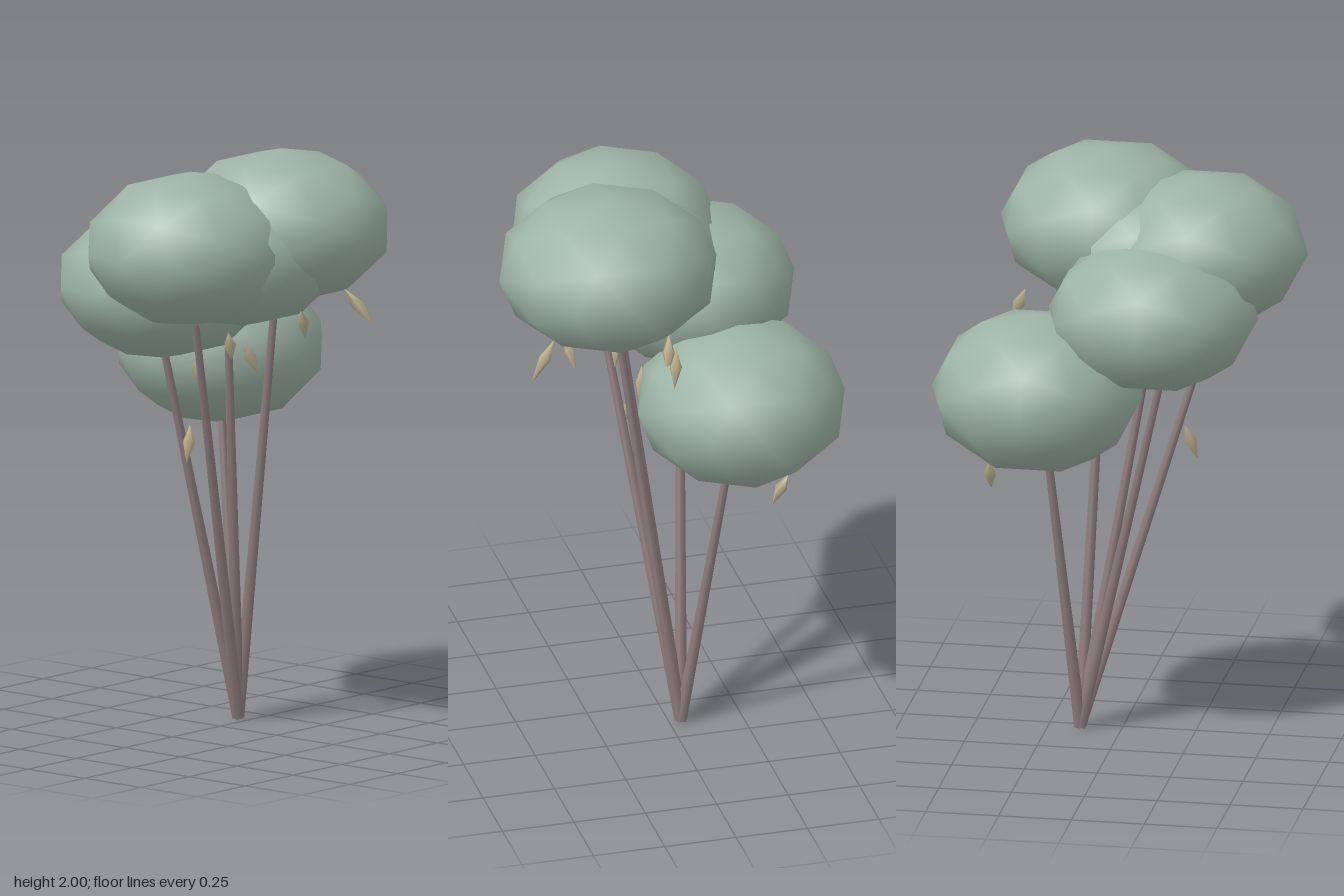
import * as THREE from 'three';
import { mergeVertices } from 'three/addons/utils/BufferGeometryUtils.js';

const foliage = new THREE.MeshStandardMaterial({ color: 0x9cb3a5 });
foliage.name = 'foliage green';
const bark = new THREE.MeshStandardMaterial({ color: 0x8f7d7f });
bark.name = 'mauve bark';
const seed = new THREE.MeshStandardMaterial({ color: 0xb9ad8a });
seed.name = 'pod tan';

const UP = new THREE.Vector3(0, 1, 0);

// Low-poly ball with shared vertices for smooth shading
function ballGeometry(rx, ry, rz) {
  let g = new THREE.IcosahedronGeometry(1, 1);
  g.deleteAttribute('normal');
  g.deleteAttribute('uv');
  g = mergeVertices(g, 1e-3);
  g.scale(rx, ry, rz);
  g.computeVertexNormals();
  return g;
}

// Places a mesh, built along y, between two points
function between(mesh, a, b) {
  mesh.position.copy(a).add(b).multiplyScalar(0.5);
  mesh.quaternion.setFromUnitVectors(UP, b.clone().sub(a).normalize());
  return mesh;
}

export function createModel() {
  const group = new THREE.Group();
  const add = (mesh, name) => {
    mesh.name = name;
    group.add(mesh);
  };

  // Foliage clumps
  const clumps = [
    [0.085, 1.735, 0.2, 0.37, 0.265, 0.38],
    [-0.255, 1.69, 0.085, 0.365, 0.265, 0.36],
    [-0.13, 1.53, -0.145, 0.36, 0.262, 0.365],
    [0.255, 1.255, -0.22, 0.362, 0.275, 0.362],
    [-0.06, 1.665, 0.13, 0.36, 0.265, 0.365],
  ];
  clumps.forEach(([x, y, z, rx, ry, rz], i) => {
    const m = new THREE.Mesh(ballGeometry(rx, ry, rz), foliage);
    m.position.set(x, y, z);
    add(m, `foliageClump${i + 1}`);
  });

  // Slender stems fanning out from one root
  const root = new THREE.Vector3(0.14, 0.005, -0.04);
  const tips = [
    [0.085, 1.7, 0.195],
    [-0.32, 1.54, 0.15],
    [-0.2, 1.5, -0.13],
    [0.245, 1.25, -0.22],
    [-0.12, 1.6, 0.13],
  ];
  tips.forEach((t, i) => {
    const tip = new THREE.Vector3(...t);
    const g = new THREE.CylinderGeometry(0.012, 0.022, tip.distanceTo(root), 6);
    add(between(new THREE.Mesh(g, bark), root, tip), `stem${i + 1}`);
  });

  // Hanging pods: upper end, lower end
  const pods = [
    [-0.205, 1.07, 0.04, -0.245, 0.95, 0.06],
    [-0.235, 1.3, 0.08, -0.195, 1.2, 0.1],
    [-0.205, 1.41, 0.21, -0.175, 1.31, 0.2],
    [0.02, 1.47, 0.34, 0.08, 1.36, 0.31],
    [0.04, 1.32, 0.07, 0.09, 1.21, 0.09],
    [0.165, 1.53, 0.41, 0.215, 1.41, 0.5],
    [0.205, 1.52, 0.02, 0.275, 1.4, 0.04],
    [0.34, 1.53, 0.03, 0.39, 1.41, 0.05],
    [0.4, 1.03, -0.345, 0.4, 0.925, -0.29],
  ];
  pods.forEach((p, i) => {
    const a = new THREE.Vector3(p[0], p[1], p[2]);
    const b = new THREE.Vector3(p[3], p[4], p[5]);
    const h = a.distanceTo(b) / 2;
    // Spindle, pointed at both ends
    const profile = [[0.001, -h], [0.022, -h * 0.1], [0.001, h]].map(
      ([r, y]) => new THREE.Vector2(r, y)
    );
    const g = new THREE.LatheGeometry(profile, 5);
    add(between(new THREE.Mesh(g, seed), a, b), `pod${i + 1}`);
  });

  return group;
}
